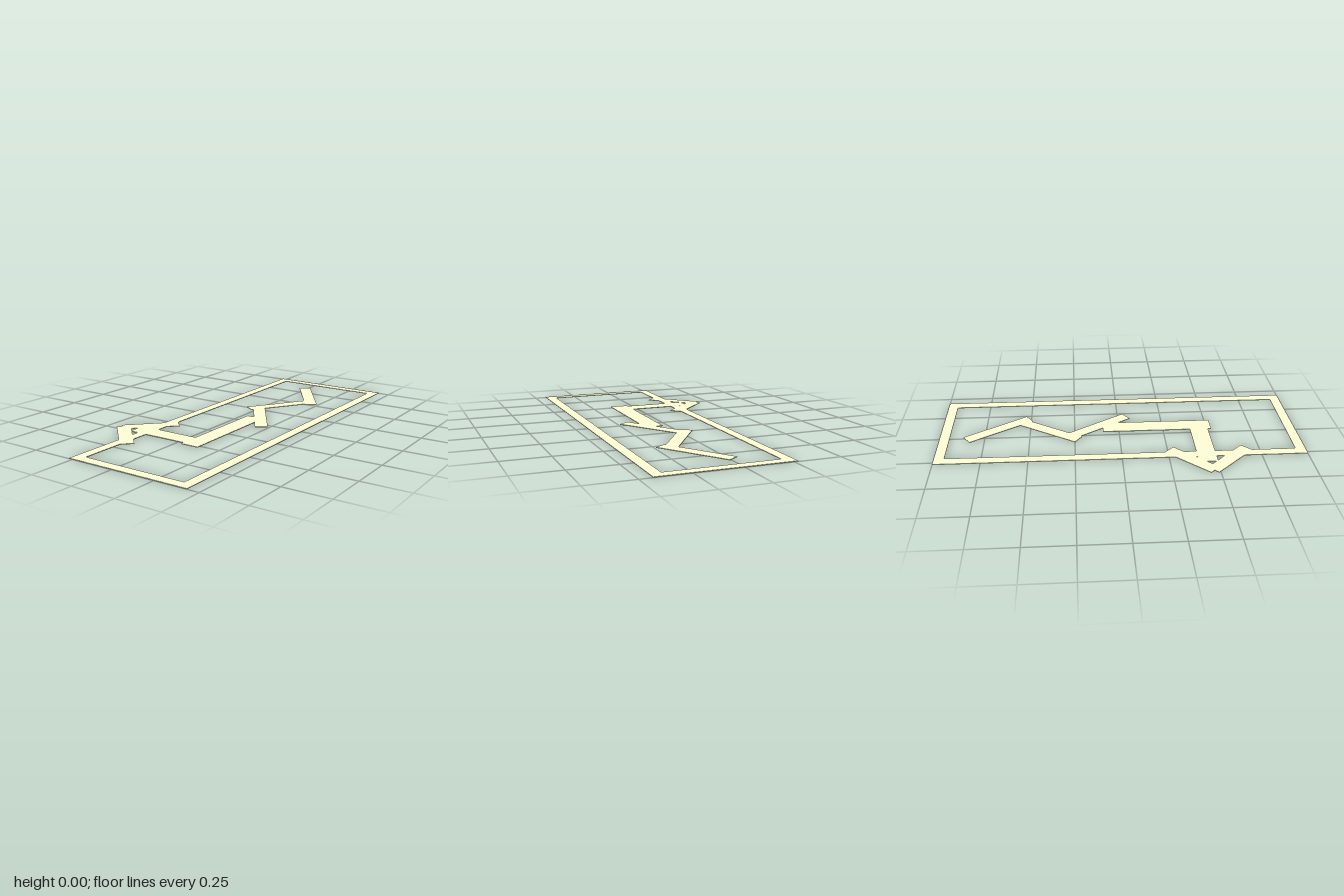
import * as THREE from 'three';

const T = 0.004; // plate thickness
const material = new THREE.MeshStandardMaterial({ color: 0xfbfbd3 });

// Flat bar between two points on the ground plane
function bar(name, [x1, z1], [x2, z2], width) {
  const dx = x2 - x1, dz = z2 - z1;
  const mesh = new THREE.Mesh(new THREE.BoxGeometry(Math.hypot(dx, dz), T, width), material);
  mesh.name = name;
  mesh.position.set((x1 + x2) / 2, T / 2, (z1 + z2) / 2);
  mesh.rotation.y = -Math.atan2(dz, dx);
  return mesh;
}

// Counter-clockwise rectangle, drawn with y = -z
function rectangle(target, x0, x1, z0, z1) {
  target.moveTo(x0, -z1).lineTo(x1, -z1).lineTo(x1, -z0).lineTo(x0, -z0).closePath();
  return target;
}

export function createModel() {
  const group = new THREE.Group();
  group.name = 'flatSign';

  // Rectangular border
  const outline = rectangle(new THREE.Shape(), -0.27, 0.435, -1, 1);
  outline.holes.push(rectangle(new THREE.Path(), -0.215, 0.378, -0.945, 0.945));
  const frameGeometry = new THREE.ExtrudeGeometry(outline, { depth: T, bevelEnabled: false });
  frameGeometry.rotateX(-Math.PI / 2);
  const frame = new THREE.Mesh(frameGeometry, material);
  frame.name = 'frame';
  group.add(frame);

  // Zigzag of three equal strips
  const zigzag = new THREE.Group();
  zigzag.name = 'zigzag';
  zigzag.add(
    bar('zigzagBack', [-0.018, -0.85], [0.212, -0.51], 0.07),
    bar('zigzagMiddle', [0.184, -0.57], [-0.046, -0.23], 0.07),
    bar('zigzagFront', [-0.018, -0.29], [0.212, 0.05], 0.07),
  );
  group.add(zigzag);

  // Elbow shaft leading out to the arrow
  group.add(
    bar('shaftLong', [0.084, -0.09], [0.084, 0.525], 0.103),
    bar('shaftCross', [-0.323, 0.454], [0.13, 0.454], 0.102),
  );

  // Arrowhead, mirrored about its axis
  const axis = 0.47;
  for (const side of [-1, 1]) {
    group.add(bar(side < 0 ? 'arrowBack' : 'arrowFront',
      [-0.19, axis + side * 0.212], [-0.408, axis - side * 0.006], 0.075));
  }
  return group;
}
